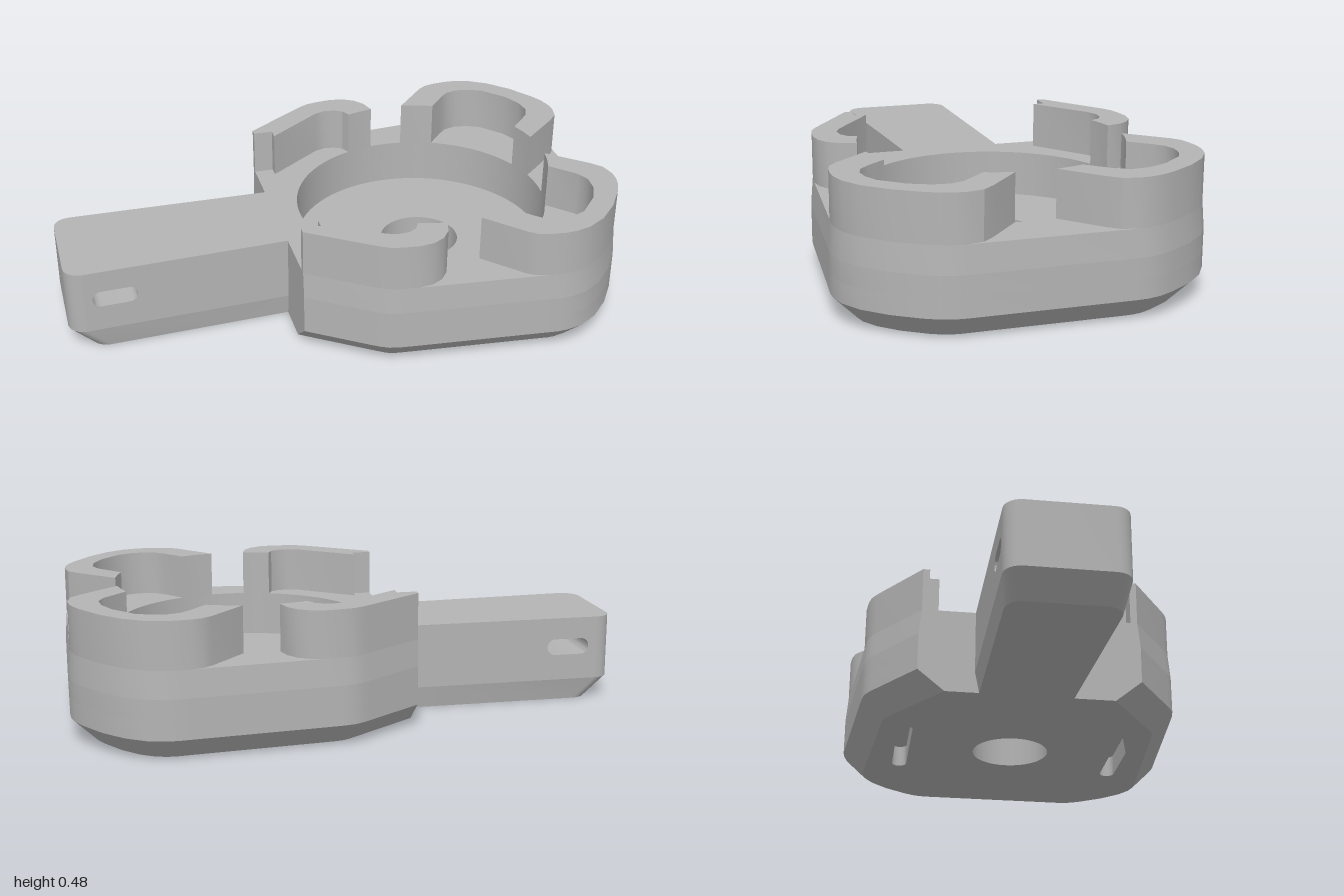
import * as THREE from 'three';
import { toCreasedNormals } from 'three/addons/utils/BufferGeometryUtils.js';

const CX = 0.355, RECESS = 0.465, BORE = 0.145, TOP = 0.315, POST_TOP = 0.48;

// Front half of the body outline as [x, z], from the arm side to the round end
const HALF = [
  [-0.2, 0.405], [0, 0.545], [0.03, 0.565], [0.06, 0.58], [0.1, 0.588], [0.16, 0.594],
  [0.61, 0.634], [0.66, 0.639], [0.7, 0.637], [0.76, 0.622], [0.83, 0.578], [0.9, 0.505],
  [0.96, 0.415], [0.985, 0.365], [0.997, 0.32], [1, 0.28],
];

// Half outline moved inwards by d; the flat arm-side edge stays in place
function insetHalf(d) {
  const dir = (a, b) => new THREE.Vector2(b[0] - a[0], b[1] - a[1]).normalize();
  return HALF.map((p, i) => {
    const after = dir(p, HALF[i + 1] || [1, -0.28]);
    if (i === 0) return [p[0], p[1] - d / after.x];
    const before = dir(HALF[i - 1], p);
    const t = before.clone().add(after).normalize();
    const k = d / t.dot(before);
    return [p[0] + t.y * k, p[1] - t.x * k];
  });
}

const mirrorZ = (pts) => pts.map(([x, z]) => [x, -z]);
const fullOutline = (d) => {
  const half = insetHalf(d);
  return [...half, ...mirrorZ(half).reverse()];
};

// Plan holes
function circle(r) {
  return new THREE.Path().absarc(CX, 0, r, 0, Math.PI * 2, true);
}
function slot(x0, x1, y, r) {
  const p = new THREE.Path();
  p.absarc(x1 - r, y, r, -Math.PI / 2, Math.PI / 2, false);
  p.absarc(x0 + r, y, r, Math.PI / 2, Math.PI * 1.5, false);
  p.closePath();
  return p;
}

// Vertical slab with a plan outline at the top and an optional other one at the bottom
function slab(y0, y1, top, bottom = top, holes = []) {
  const shape = new THREE.Shape(top.map(([x, z]) => new THREE.Vector2(x, -z)));
  shape.holes.push(...holes);
  const geo = new THREE.ExtrudeGeometry(shape, { depth: y1 - y0, bevelEnabled: false, curveSegments: 48 });
  const pos = geo.attributes.position;
  if (bottom !== top) {
    for (let i = 0; i < pos.count; i++) {
      if (pos.getZ(i) > 1e-5) continue;
      const x = pos.getX(i), z = -pos.getY(i);
      const k = top.findIndex((p) => Math.hypot(p[0] - x, p[1] - z) < 1e-5);
      if (k >= 0) pos.setXY(i, bottom[k][0], -bottom[k][1]);
    }
  }
  geo.rotateX(-Math.PI / 2);
  geo.translate(0, y0, 0);
  return toCreasedNormals(geo, 0.5);
}

export function createModel() {
  const group = new THREE.Group();
  const grey = new THREE.MeshStandardMaterial({ color: 0xb4b4b4 });
  grey.name = 'grey';
  const add = (name, geo) => {
    const mesh = new THREE.Mesh(geo, grey);
    mesh.name = name;
    group.add(mesh);
  };

  // Body: chamfered base with two blind slots, recess floor, recess wall, tapered rim
  const full = fullOutline(0), rim = fullOutline(0.008);
  const slots = [-0.42, 0.42].map((y) => slot(0.145, 0.565, y, 0.028));
  add('bodyChamfer', slab(0, 0.08, full, fullOutline(0.08), [circle(BORE), ...slots]));
  add('recessFloor', slab(0.08, 0.15, full, full, [circle(BORE)]));
  add('bodyWall', slab(0.15, 0.22, full, full, [circle(RECESS)]));
  add('bodyRim', slab(0.22, TOP, rim, full, [circle(RECESS)]));

  // Curved posts around the recess, mirrored front to back
  const onCircle = (a) => [CX + RECESS * Math.cos(a), RECESS * Math.sin(a)];
  const top = insetHalf(0.008);
  const roundPost = [
    onCircle(1.43), [0.54, 0.592], [0.57, 0.615], ...top.slice(6),
    [0.98, 0.225], [0.945, 0.185], onCircle(0.15), onCircle(0.26), onCircle(0.37),
    [0.87, 0.255], [0.888, 0.3], [0.882, 0.36], [0.85, 0.43], [0.78, 0.51], [0.73, 0.533],
    [0.68, 0.54], [0.635, 0.527], [0.6, 0.495], onCircle(1.16), onCircle(1.3),
  ];
  const hookPost = [
    ...top.slice(0, 6), [0.21, 0.578], [0.25, 0.555], [0.28, 0.515],
    onCircle(1.7), onCircle(1.81), onCircle(1.92),
    [0.18, 0.47], [0.15, 0.488], [0.11, 0.492], [0.07, 0.478],
    [-0.13, 0.33], [-0.13, 0.37], [-0.2, 0.37],
  ];
  for (const [side, place] of [['Front', (p) => p], ['Back', mirrorZ]]) {
    add('roundPost' + side, slab(TOP, POST_TOP, place(roundPost)));
    add('hookPost' + side, slab(TOP, POST_TOP, place(hookPost)));
  }

  // Arm: rounded tip, chamfered underside, and a block with a slot running through it
  const R = 0.06, X = -1 + R;
  const frontZ = (x) => 0.17 + 0.04 * (-0.2 - x) / (-0.2 - X);
  const tip = [];
  for (let i = 0; i <= 6; i++) {
    const a = (i / 6) * Math.PI / 2;
    tip.push([X - R * Math.sin(a), frontZ(X) - R + R * Math.cos(a)]);
  }
  for (let i = 6; i >= 0; i--) {
    const a = (i / 6) * Math.PI / 2;
    tip.push([X - R * Math.sin(a), -0.2 + R - R * Math.cos(a)]);
  }
  const armPlan = [[-0.2, 0.17], ...tip, [-0.2, -0.2]];
  const armUnder = armPlan.map(([x, z]) => [x < -0.5 ? x + 0.08 : x, z * 0.92]);
  add('armChamfer', slab(0, 0.08, armPlan, armUnder));
  add('armTip', slab(0.08, TOP, tip));

  const side = new THREE.Shape([[X, 0.08], [-0.2, 0.08], [-0.2, TOP], [X, TOP]]
    .map(([x, y]) => new THREE.Vector2(x, y)));
  side.holes.push(slot(-0.91, -0.75, 0.205, 0.03));
  const block = new THREE.ExtrudeGeometry(side, { depth: 1, bevelEnabled: false, curveSegments: 12 });
  const pos = block.attributes.position;
  for (let i = 0; i < pos.count; i++) {
    pos.setZ(i, pos.getZ(i) > 0.5 ? frontZ(pos.getX(i)) : -0.2);
  }
  add('armBlock', toCreasedNormals(block, 0.5));

  return group;
}
